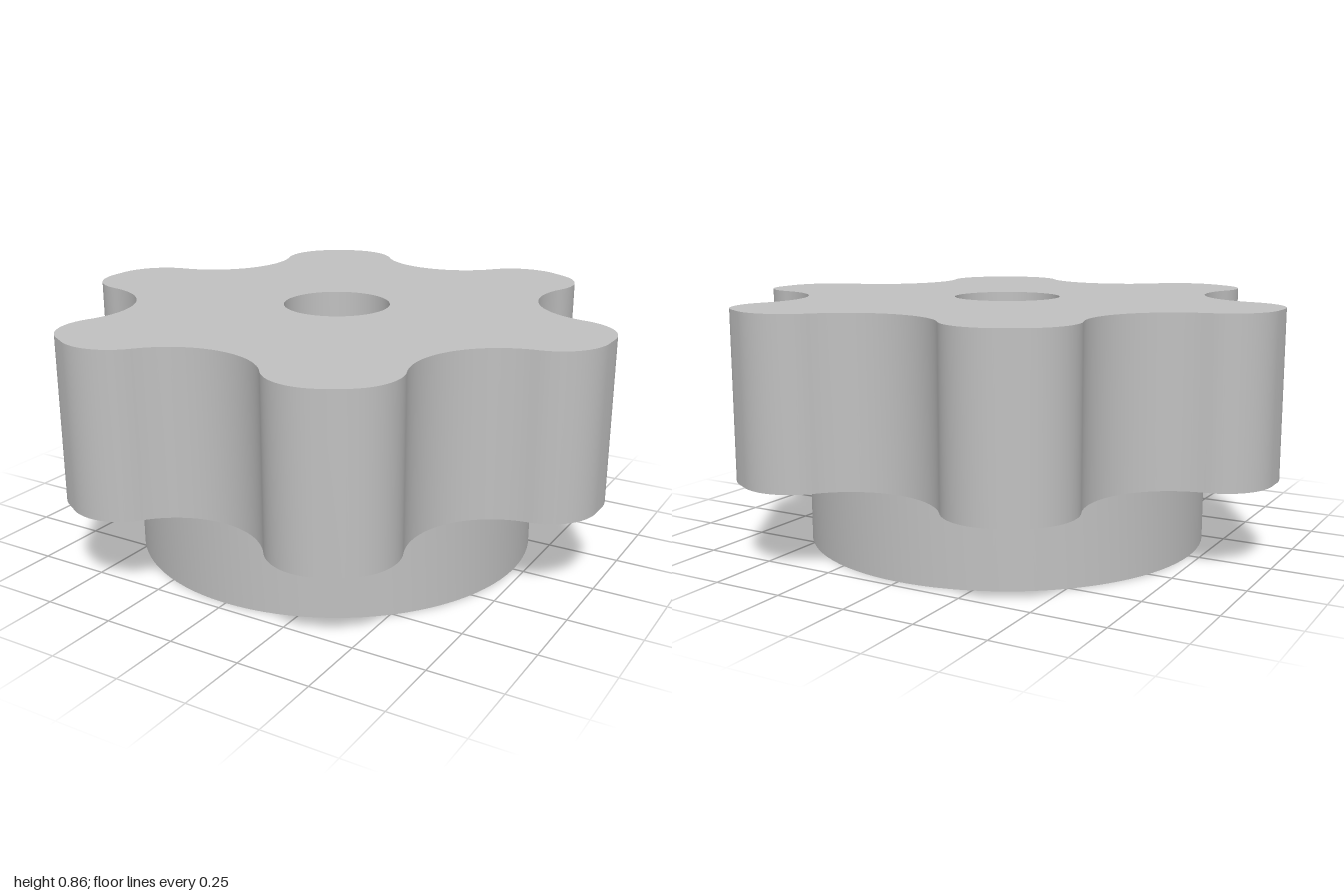
import * as THREE from 'three';
import { toCreasedNormals } from 'three/addons/utils/BufferGeometryUtils.js';

const LOBES = 6;
const BASE_HEIGHT = 0.286, TOTAL_HEIGHT = 0.857;
const ROOT = 0.713;                                  // radius at the bottom of the finger grooves
const ROUND = 0.185, ROUND_TILT = THREE.MathUtils.degToRad(1.9);
const GROOVE_CENTRE = 1.01, GROOVE = GROOVE_CENTRE - ROOT;

const polar = (r, a) => new THREE.Vector2(r * Math.cos(a), r * Math.sin(a));

function ring(radius, count, start = 0) {
  return Array.from({ length: count }, (_, i) => polar(radius, start + (i / count) * Math.PI * 2));
}

function arc(centre, radius, from, to, steps, skipEnds = false) {
  const points = [];
  for (let i = skipEnds ? 1 : 0; i <= (skipEnds ? steps - 1 : steps); i++) {
    points.push(polar(radius, from + (to - from) * (i / steps)).add(centre));
  }
  return points;
}

// Star outline: two rounded corners per lobe, then a tangent hollow groove
function gripOutline() {
  const points = [];
  const corner = polar(1 - ROUND, ROUND_TILT);
  const groove = polar(GROOVE_CENTRE, Math.PI / LOBES);
  const end = groove.clone().sub(corner).angle();    // direction of the tangent point
  const sweep = end + Math.PI;
  const sweepEnd = 2 * Math.PI / LOBES - end + Math.PI;
  for (let i = 0; i < LOBES; i++) {
    const a = (i / LOBES) * Math.PI * 2;
    points.push(...arc(polar(1 - ROUND, a - ROUND_TILT), ROUND, a - end, a - ROUND_TILT, 16));
    points.push(...arc(polar(1 - ROUND, a + ROUND_TILT), ROUND, a + ROUND_TILT, a + end, 16));
    points.push(...arc(polar(GROOVE_CENTRE, a + Math.PI / LOBES), GROOVE, a + sweep, a + sweepEnd, 28, true));
  }
  return points;
}

// Upright plate with a hole, smooth on curves and sharp on edges
function plate(name, outline, hole, y0, y1, material) {
  const shape = new THREE.Shape(outline);
  shape.holes.push(new THREE.Path(hole));
  const geometry = new THREE.ExtrudeGeometry(shape, { depth: y1 - y0, bevelEnabled: false });
  geometry.rotateX(-Math.PI / 2).translate(0, y0, 0);
  const mesh = new THREE.Mesh(toCreasedNormals(geometry, 0.5), material);
  mesh.name = name;
  return mesh;
}

export function createModel() {
  const group = new THREE.Group();
  group.name = 'starKnob';
  const grey = new THREE.MeshStandardMaterial({ color: 0xc0c0c0 });
  grey.name = 'grey plastic';

  // Round base with a hexagonal nut pocket
  group.add(plate('base', ring(ROOT, 96), ring(0.337, 6, Math.PI / 6), 0, BASE_HEIGHT, grey));
  // Six-lobed grip with a round bolt hole
  group.add(plate('grip', gripOutline(), ring(0.187, 64), BASE_HEIGHT, TOTAL_HEIGHT, grey));
  return group;
}
